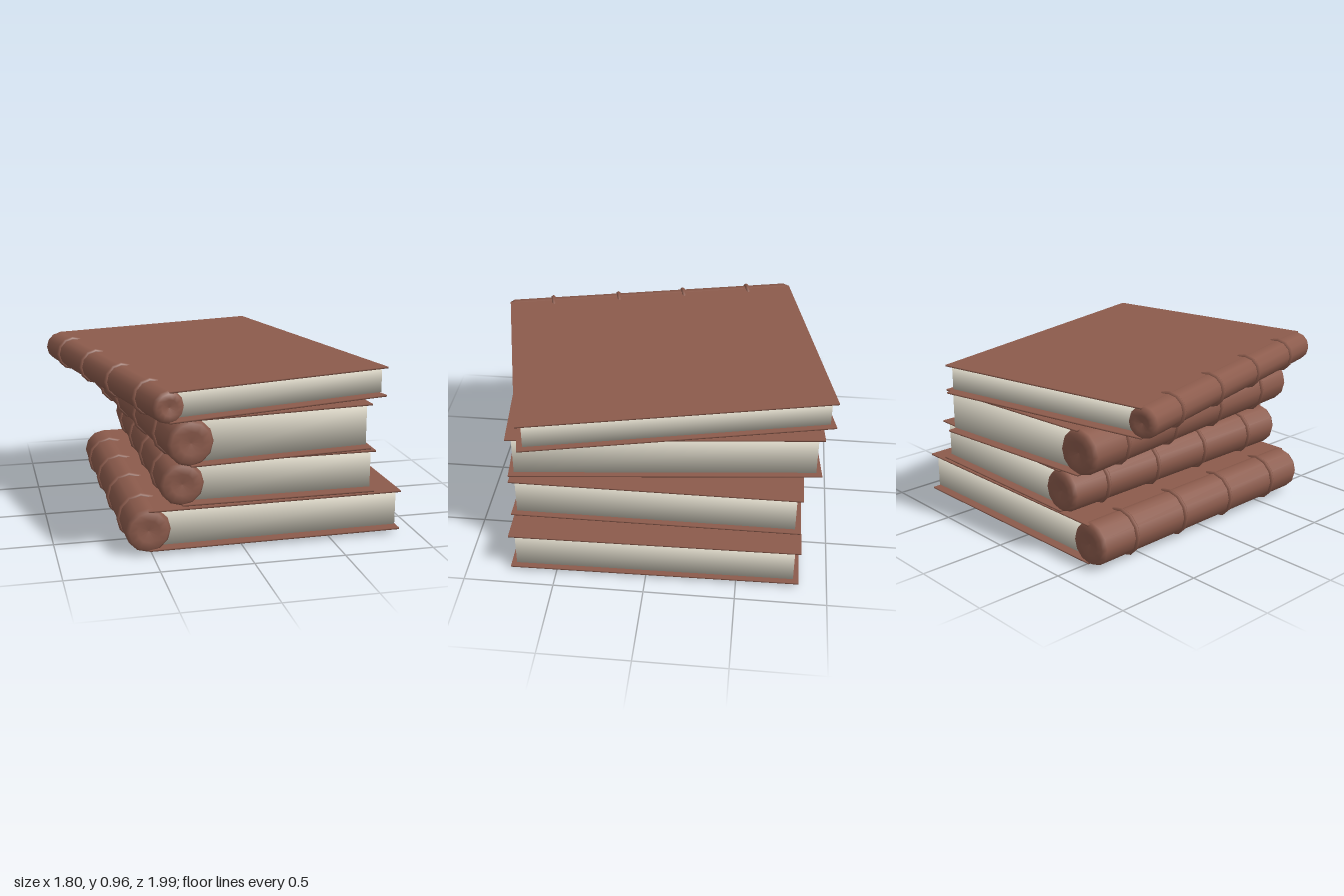
import * as THREE from 'three';
import { mergeVertices } from 'three/addons/utils/BufferGeometryUtils.js';

const leather = new THREE.MeshStandardMaterial({ color: 0x8c5b4c });
const paper = new THREE.MeshStandardMaterial({ color: 0xd8d3c4 });

// Box with shared corners, so its shading runs softly over the edges
function softBox(w, h, d) {
  const g = new THREE.BoxGeometry(w, h, d);
  g.deleteAttribute('normal');
  g.deleteAttribute('uv');
  const soft = mergeVertices(g);
  soft.computeVertexNormals();
  return soft;
}

function add(parent, name, geometry, material, x = 0, y = 0, z = 0) {
  const mesh = new THREE.Mesh(geometry, material);
  mesh.name = name;
  mesh.position.set(x, y, z);
  parent.add(mesh);
  return mesh;
}

// One book; its origin is the middle of the spine, pages extend to +x
function makeBook({ radius, length, width, coverGap, pageHeight }) {
  const book = new THREE.Group();
  const half = length / 2;

  // Rounded spine with slightly dished ends
  const end = [[0, half - 0.012], [radius * 0.5, half - 0.002], [radius * 0.86, half], [radius, half - 0.025]];
  const profile = [
    ...end.map(([r, y]) => new THREE.Vector2(r, -y)),
    ...end.slice().reverse().map(([r, y]) => new THREE.Vector2(r, y)),
  ];
  const spine = new THREE.LatheGeometry(profile, 12);
  spine.rotateX(Math.PI / 2);
  add(book, 'spine', spine, leather);

  // Four raised bands around the spine
  const band = new THREE.TorusGeometry(radius, 0.014, 6, 12);
  for (const t of [-0.348, -0.116, 0.116, 0.348]) {
    add(book, 'spineBand', band, leather, 0, 0, t * length);
  }

  // Thin covers above and below
  const cover = softBox(width, 0.009, length);
  add(book, 'topCover', cover, leather, width / 2, coverGap / 2, 0);
  add(book, 'bottomCover', cover, leather, width / 2, -coverGap / 2, 0);

  // Page block, set back from the cover edges
  const inner = radius * 0.3;
  const outer = width - 0.017;
  add(book, 'pages', softBox(outer - inner, pageHeight, length - 0.065), paper, (inner + outer) / 2, 0, 0);
  return book;
}

export function createModel() {
  const model = new THREE.Group();
  model.name = 'bookStack';

  // Bottom to top: spine position, turn and size of each book
  const books = [
    { name: 'bottomBook', at: [-0.53, 0.137, -0.025], turn: 0.015, radius: 0.122, length: 1.6, width: 1.42, coverGap: 0.219, pageHeight: 0.184 },
    { name: 'secondBook', at: [-0.335, 0.381, -0.035], turn: 0, radius: 0.12, length: 1.61, width: 1.073, coverGap: 0.23, pageHeight: 0.194 },
    { name: 'thirdBook', at: [-0.394, 0.637, 0.02], turn: 0.1, radius: 0.127, length: 1.723, width: 1.021, coverGap: 0.246, pageHeight: 0.214 },
    { name: 'topBook', at: [-0.629, 0.858, 0.131], turn: 0.225, radius: 0.086, length: 1.725, width: 1.294, coverGap: 0.158, pageHeight: 0.125 },
  ];
  for (const b of books) {
    const book = makeBook(b);
    book.name = b.name;
    book.position.set(...b.at);
    book.rotation.y = b.turn;
    model.add(book);
  }
  return model;
}
